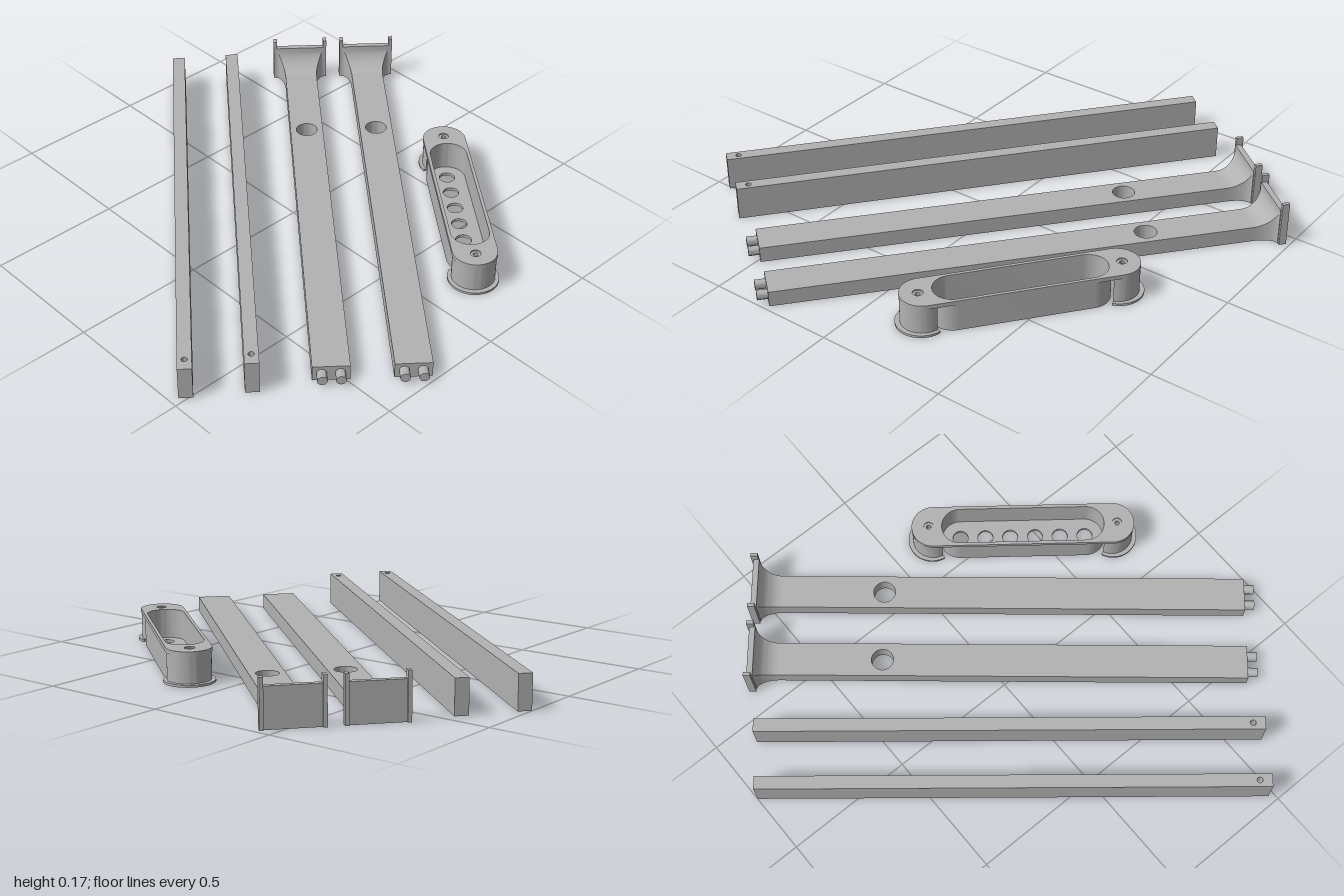
import * as THREE from 'three';
import { toCreasedNormals } from 'three/addons/utils/BufferGeometryUtils.js';

const grey = new THREE.MeshStandardMaterial({ color: 0xb2b2b2 });
grey.name = 'plain grey';

function mesh(name, geometry, parent, x = 0, y = 0, z = 0) {
  const m = new THREE.Mesh(geometry, grey);
  m.name = name;
  m.position.set(x, y, z);
  parent.add(m);
  return m;
}

// Each part is laid out along its own x axis, then placed and turned on the floor
function placed(name, parent, x, z, degrees) {
  const g = new THREE.Group();
  g.name = name;
  g.position.set(x, 0, z);
  g.rotation.y = -degrees * Math.PI / 180;
  parent.add(g);
  return g;
}

// Plan outline pulled straight up from the floor
function slab(shape, height) {
  const g = new THREE.ExtrudeGeometry(shape, { depth: height, bevelEnabled: false, curveSegments: 24 });
  g.rotateX(-Math.PI / 2);
  return toCreasedNormals(g, 0.6);
}

function circle(x, r) {
  return new THREE.Path().absarc(x, 0, r, 0, Math.PI * 2, true);
}

function rectangle(x0, x1, half) {
  return new THREE.Shape([[x0, -half], [x1, -half], [x1, half], [x0, half]].map(p => new THREE.Vector2(...p)));
}

function stadium(s, r) {
  const p = new THREE.Shape();
  p.absarc(s, 0, r, -Math.PI / 2, Math.PI / 2, false);
  p.absarc(-s, 0, r, Math.PI / 2, Math.PI * 1.5, false);
  p.closePath();
  return p;
}

function arcBand(x, inner, outer, halfAngle) {
  const p = new THREE.Shape();
  p.absarc(x, 0, outer, -halfAngle, halfAngle, false);
  p.absarc(x, 0, inner, halfAngle, -halfAngle, true);
  p.closePath();
  return p;
}

// Concave flare joining the end plate to the flat beam
function flareGeometry() {
  const pos = [], index = [], steps = 14;
  for (let i = 0; i <= steps; i++) {
    const a = (i / steps) * Math.PI / 2;
    const u = 0.03 + 0.085 * (1 - Math.cos(a));
    const top = 0.06 + 0.085 * (1 - Math.sin(a));
    const half = 0.065 + 0.036 * (1 - Math.sin(a));
    pos.push(u, 0, half, u, 0, -half, u, top, -half, u, top, half);
    if (i === steps) continue;
    for (let k = 0; k < 4; k++) {
      const p = i * 4 + k, q = i * 4 + (k + 1) % 4;
      index.push(p, q, q + 4, p, q + 4, p + 4);
    }
  }
  const g = new THREE.BufferGeometry();
  g.setAttribute('position', new THREE.Float32BufferAttribute(pos, 3));
  g.setIndex(index);
  g.computeVertexNormals();
  return toCreasedNormals(g, 0.6);
}

function addRail(parent, name, x, z) {
  const g = placed(name, parent, x, z, 39.3);
  const s = rectangle(0, 1.908, 0.025);
  s.holes.push(circle(1.861, 0.011));
  mesh('rail', slab(s, 0.13), g);
}

function addBeam(parent, name, x, z) {
  const g = placed(name, parent, x, z, 40);
  const s = rectangle(0.115, 1.903, 0.065);
  s.holes.push(circle(0.51, 0.042));
  mesh('beam', slab(s, 0.06), g);
  mesh('flare', flareGeometry(), g);
  mesh('endPlate', new THREE.BoxGeometry(0.022, 0.145, 0.2), g, 0.019, 0.0725, 0);
  for (const side of [-1, 1]) {
    mesh('plateLip', new THREE.BoxGeometry(0.027, 0.175, 0.014), g, 0.0135, 0.0875, side * 0.104);
    const peg = new THREE.CylinderGeometry(0.018, 0.018, 0.044, 12);
    peg.rotateZ(Math.PI / 2);
    mesh('peg', toCreasedNormals(peg, 0.6), g, 1.92, 0.031, side * 0.032);
  }
}

function addTray(parent) {
  const g = placed('tray', parent, 0.449, -0.43, 38.2);

  // Perforated floor
  const floor = stadium(0.245, 0.078);
  for (let i = 0; i < 6; i++) floor.holes.push(circle((i - 2.5) * 0.098, 0.03));
  mesh('trayFloor', slab(floor, 0.012), g);

  // Wall around the cavity
  const wall = stadium(0.245, 0.08);
  wall.holes.push(stadium(0.245, 0.071));
  mesh('trayWall', slab(wall, 0.115), g);

  // Top rim with the long opening and screw holes
  const rim = stadium(0.35, 0.083);
  rim.holes.push(stadium(0.245, 0.071), circle(0.367, 0.019), circle(-0.367, 0.019));
  mesh('trayRim', slab(rim, 0.016), g, 0, 0.109, 0);

  // Open end shells with foot flanges and hollow screw posts
  for (const side of [0, 1]) {
    const end = new THREE.Group();
    end.name = 'trayEnd';
    end.rotation.y = side * Math.PI;
    g.add(end);
    mesh('endShell', slab(arcBand(0.352, 0.07, 0.08, 2.05), 0.11), end);
    mesh('footFlange', slab(arcBand(0.356, 0.068, 0.094, 2.1), 0.009), end);
    const post = new THREE.Shape().absarc(0.367, 0, 0.019, 0, Math.PI * 2, false);
    post.holes.push(circle(0.367, 0.009));
    mesh('screwPost', slab(post, 0.09), end, 0, 0.03, 0);
  }
}

export function createModel() {
  const model = new THREE.Group();
  model.name = 'frameParts';
  addRail(model, 'outerRail', -0.983, -0.258);
  addRail(model, 'innerRail', -0.852, -0.438);
  addBeam(model, 'frontBeam', -0.698, -0.687);
  addBeam(model, 'backBeam', -0.519, -0.901);
  addTray(model);
  return model;
}
